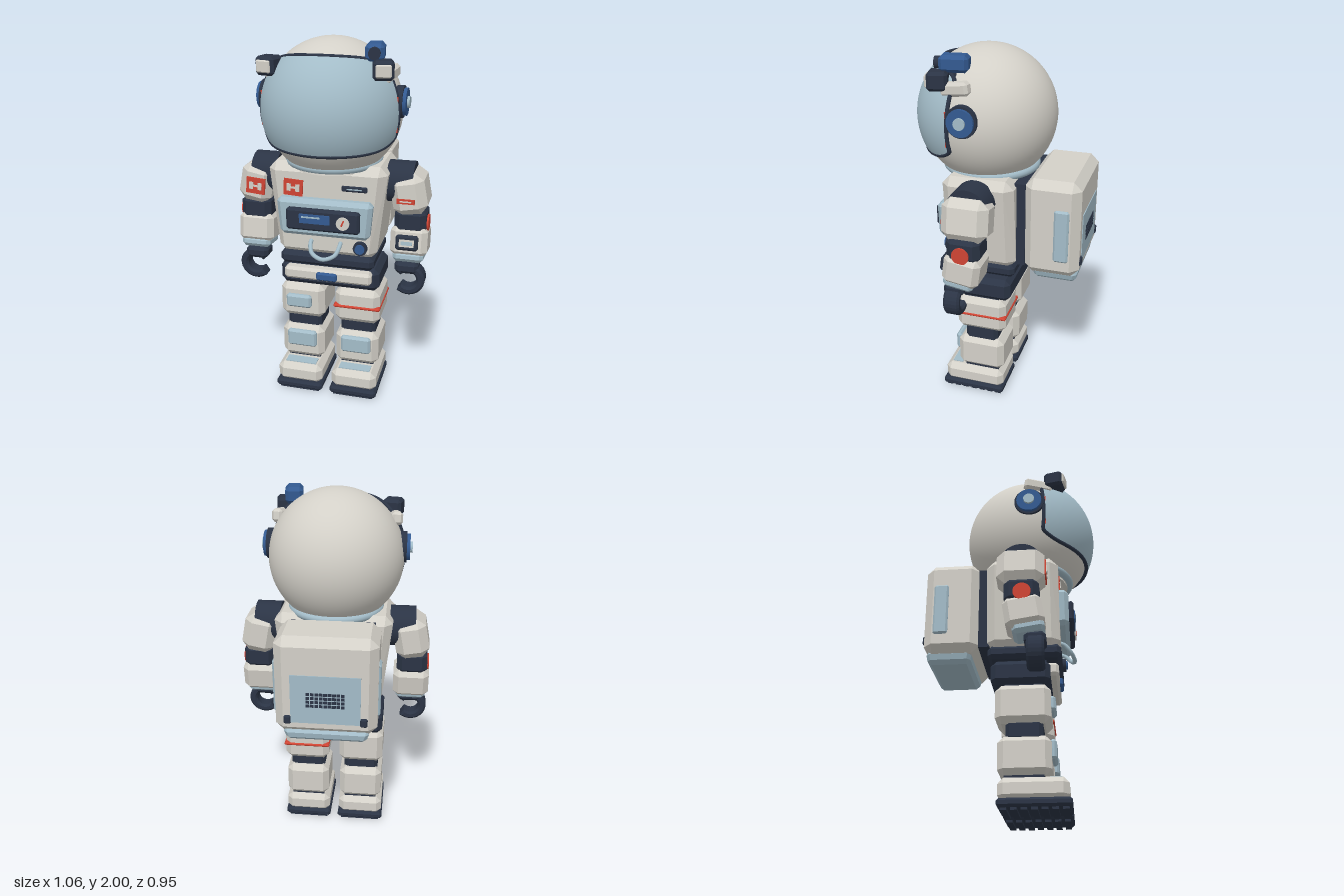
import * as THREE from 'three';
import { ConvexGeometry } from 'three/addons/geometries/ConvexGeometry.js';
import { ParametricGeometry } from 'three/addons/geometries/ParametricGeometry.js';

const material = (name, color) => {
  const m = new THREE.MeshStandardMaterial({ color });
  m.name = name;
  return m;
};

// Box with chamfered edges; bw and bd scale the bottom for a taper
function block(w, h, d, c = 0.02, bw = 1, bd = 1) {
  const pts = [];
  for (const x of [-1, 1]) for (const y of [-1, 1]) for (const z of [-1, 1]) {
    for (const [a, b, e] of [[0, c, c], [c, 0, c], [c, c, 0]]) {
      const py = y * (h / 2 - b), t = 0.5 - py / h;
      pts.push(new THREE.Vector3(x * (w / 2 - a) * (1 + (bw - 1) * t), py, z * (d / 2 - e) * (1 + (bd - 1) * t)));
    }
  }
  return new ConvexGeometry(pts);
}
const box = (w, h, d) => new THREE.BoxGeometry(w, h, d);
const discX = (r, len, n = 28) => new THREE.CylinderGeometry(r, r, len, n).rotateZ(Math.PI / 2);
const discZ = (r, len, n = 28) => new THREE.CylinderGeometry(r, r, len, n).rotateX(Math.PI / 2);

function add(parent, name, geo, mat, x = 0, y = 0, z = 0, rx = 0, ry = 0, rz = 0) {
  const m = new THREE.Mesh(geo, mat);
  m.name = name;
  m.position.set(x, y, z);
  m.rotation.set(rx, ry, rz);
  parent.add(m);
  return m;
}
function group(parent, name, x = 0, y = 0, z = 0, rx = 0, ry = 0, rz = 0) {
  const g = new THREE.Group();
  g.name = name;
  g.position.set(x, y, z);
  g.rotation.set(rx, ry, rz);
  parent.add(g);
  return g;
}

export function createModel() {
  const white = material('suitWhite', 0xd3d0c8);
  const steel = material('paleBlue', 0xa3bcc8);
  const dark = material('darkNavy', 0x2b3445);
  const blue = material('blue', 0x335a91);
  const red = material('red', 0xd04433);
  const root = new THREE.Group();
  root.name = 'astronaut';

  // Red patch with a small pale device mark
  const patch = (parent, x, y, z, rz) => {
    const g = group(parent, 'redPatch', x, y, z, 0, 0, rz);
    add(g, 'patchBase', box(0.105, 0.09, 0.012), red);
    for (const s of [-1, 1]) add(g, 'patchMark', box(0.022, 0.04, 0.006), white, s * 0.024, 0, 0.008);
    add(g, 'patchMarkBar', box(0.04, 0.01, 0.006), white, 0, 0, 0.008);
  };

  // Helmet
  const head = group(root, 'helmet', 0, 1.635, 0.095);
  add(head, 'helmetShell', new THREE.SphereGeometry(0.365, 56, 40), white);
  const rad = Math.PI / 180, span = 74;
  const onSphere = (r, p, t, out) => {
    const top = 52 - 8 * p ** 2 - 6 * p ** 8, bottom = -28 + 2 * p ** 2 + 8 * p ** 8;
    const e = (bottom + (top - bottom) * t) * rad, a = p * span * rad;
    return out.set(r * Math.sin(a) * Math.cos(e), r * Math.sin(e), r * Math.cos(a) * Math.cos(e));
  };
  add(head, 'visor', new ParametricGeometry((u, v, out) => onSphere(0.38, u * 2 - 1, v, out), 48, 32), steel);
  const rim = [];
  const rimPoint = (p, t) => rim.push(onSphere(0.374, p, t, new THREE.Vector3()));
  for (let i = 0; i < 20; i++) rimPoint(-1 + i / 10, 0);
  for (let i = 0; i < 10; i++) rimPoint(1, i / 10);
  for (let i = 0; i < 20; i++) rimPoint(1 - i / 10, 1);
  for (let i = 0; i < 10; i++) rimPoint(-1, 1 - i / 10);
  add(head, 'visorRim', new THREE.TubeGeometry(new THREE.CatmullRomCurve3(rim, true), 160, 0.011, 8, true), dark);

  // Ear pods and helmet lamps
  for (const s of [-1, 1]) {
    const ear = group(root, 'earPod', 0, 1.687, 0.117);
    add(ear, 'earBase', discX(0.082, 0.045), dark, s * 0.352);
    add(ear, 'earRing', discX(0.07, 0.04), blue, s * 0.372);
    add(ear, 'earCap', discX(0.03, 0.04), steel, s * 0.385);
    for (const y of [0.025, -0.125]) add(ear, 'hingeMark', box(0.012, 0.03, 0.012), red, s * 0.352, y, 0.085);

    const lamp = group(root, 'helmetLamp', s * 0.29, 1.866, 0.26, 0, s * 0.22);
    add(lamp, 'lampHousing', block(0.105, 0.095, 0.105, 0.015), dark);
    add(lamp, 'lampFace', block(0.078, 0.062, 0.016, 0.006), white, 0, 0, 0.055);
    add(root, 'lampArm', block(0.06, 0.07, 0.16, 0.015), white, s * 0.305, 1.833, 0.165, 0.15, -s * 0.2);
  }

  // Helmet camera
  const cam = group(root, 'helmetCamera', 0.237, 1.943, 0.19, 0, 0.13);
  add(cam, 'cameraBody', block(0.095, 0.085, 0.15, 0.018), blue);
  add(cam, 'cameraLens', discZ(0.03, 0.03, 20), dark, 0, 0, 0.085);
  add(cam, 'cameraFoot', box(0.04, 0.04, 0.06), dark, 0, -0.05, 0.02);

  // Neck ring and torso
  add(root, 'neckRing', new THREE.TorusGeometry(0.24, 0.024, 12, 48).rotateX(Math.PI / 2), steel, 0, 1.362, 0.08);
  add(root, 'neckCollar', new THREE.CylinderGeometry(0.22, 0.23, 0.05, 40), white, 0, 1.35, 0.08);
  add(root, 'torso', block(0.65, 0.52, 0.39, 0.045, 0.82), white, 0, 1.105, 0.07);
  add(root, 'torsoBase', block(0.52, 0.075, 0.39, 0.022), dark, 0, 0.828, 0.075);
  add(root, 'waistCore', box(0.42, 0.08, 0.26), dark, 0, 0.78, 0.06);

  // Chest console
  const chest = group(root, 'chestConsole', 0, 1.085, 0);
  add(chest, 'consoleBody', block(0.52, 0.205, 0.08, 0.022, 0.93), steel, 0, 0, 0.275);
  add(chest, 'consoleScreenFrame', block(0.395, 0.12, 0.04, 0.012), dark, 0, 0, 0.322);
  add(chest, 'consoleScreen', box(0.165, 0.05, 0.009), blue, -0.04, 0.01, 0.344);
  add(chest, 'screenLine', box(0.1, 0.008, 0.004), steel, -0.06, 0.02, 0.35);
  add(chest, 'dialFace', discZ(0.035, 0.014), white, 0.112, 0, 0.345);
  add(chest, 'dialNeedle', box(0.008, 0.034, 0.004), red, 0.112, 0.004, 0.354, 0, 0, -0.4);
  patch(root, -0.175, 1.235, 0.265, -0.06);
  add(root, 'chestLabel', block(0.135, 0.03, 0.016, 0.005), dark, 0.155, 1.25, 0.266);
  add(root, 'chestLabelLine', box(0.08, 0.006, 0.004), steel, 0.155, 1.25, 0.275);
  add(root, 'knobRing', discZ(0.038, 0.03), dark, 0.19, 0.925, 0.27);
  add(root, 'knob', discZ(0.026, 0.03), blue, 0.19, 0.925, 0.28);
  const handle = [[-0.08, 0.945, 0.25], [-0.08, 0.93, 0.285], [-0.062, 0.89, 0.32], [0, 0.868, 0.337],
    [0.062, 0.89, 0.32], [0.08, 0.93, 0.285], [0.08, 0.945, 0.25]].map(p => new THREE.Vector3(...p));
  add(root, 'chestHandle', new THREE.TubeGeometry(new THREE.CatmullRomCurve3(handle), 40, 0.012, 8), steel);

  // Hips and belt
  add(root, 'hips', block(0.56, 0.13, 0.31, 0.028), dark, 0, 0.705, 0.055);
  add(root, 'beltPanel', block(0.49, 0.07, 0.07, 0.015), white, 0, 0.727, 0.218);
  add(root, 'beltBuckle', block(0.115, 0.045, 0.025, 0.008), blue, 0, 0.728, 0.258);

  // Backpack
  add(root, 'packMount', box(0.46, 0.47, 0.06), dark, 0, 1.105, -0.143);
  const pack = group(root, 'backpack', 0, 1.11, -0.318);
  add(pack, 'packBody', block(0.53, 0.54, 0.3, 0.045), white);
  add(pack, 'packTray', block(0.46, 0.07, 0.25, 0.02, 0.9, 0.9), steel, 0, -0.282, -0.015);
  add(pack, 'packPanel', box(0.36, 0.27, 0.008), steel, 0, -0.06, -0.15);
  for (const s of [-1, 1]) {
    add(pack, 'packSidePlate', block(0.03, 0.295, 0.08, 0.01), steel, s * 0.262, -0.022, -0.057);
    add(pack, 'packLug', block(0.04, 0.05, 0.03, 0.008), dark, s * 0.197, -0.18, -0.145);
  }
  for (let r = 0; r < 4; r++) for (let c = 0; c < 9; c++) {
    add(pack, 'ventSlot', box(0.018, 0.015, 0.014), dark, (c - 4) * 0.0225, -0.06 + (r - 1.5) * 0.022, -0.151);
  }

  // Arms
  for (const s of [-1, 1]) {
    const arm = group(root, s > 0 ? 'leftArm' : 'rightArm');
    add(arm, 'shoulderJoint', discX(0.112, 0.14), dark, s * 0.372, 1.253, 0.075);
    const upper = group(arm, 'upperArm', s * 0.42, 1.205, 0.075, 0, 0, s * 0.19);
    add(upper, 'upperSleeve', block(0.185, 0.225, 0.25, 0.045), white);
    if (s < 0) patch(upper, 0.01, 0, 0.126, 0.1);
    else {
      add(upper, 'sleeveStripe', box(0.095, 0.026, 0.012), red, -0.012, -0.02, 0.126, 0, 0, -0.19);
      add(upper, 'stripeMark', box(0.06, 0.007, 0.004), white, -0.012, -0.02, 0.133, 0, 0, -0.19);
    }
    add(arm, 'elbow', block(0.17, 0.14, 0.18, 0.03), dark, s * 0.432, 1.055, 0.08);
    add(arm, 'elbowDisc', discX(0.046, 0.02), red, s * 0.517, 1.035, 0.085);
    const fore = group(arm, 'forearm', s * 0.43, 0.935, 0.09, -0.15);
    add(fore, 'foreSleeve', block(0.2, 0.17, 0.2, 0.03), white);
    add(fore, 'cuff', block(0.165, 0.06, 0.165, 0.02), steel, 0, -0.085, 0.01);
    if (s > 0) {
      add(fore, 'wristDisplay', block(0.12, 0.082, 0.03, 0.01), dark, -0.005, 0, 0.108);
      add(fore, 'wristScreen', box(0.08, 0.04, 0.006), white, -0.005, 0, 0.124);
      add(fore, 'wristScreenBar', box(0.06, 0.02, 0.004), steel, -0.005, 0, 0.127);
    }

    // Curled glove, open towards the body
    add(arm, 'palm', block(0.13, 0.07, 0.11, 0.02), dark, s * 0.425, 0.8, 0.145);
    const hook = new THREE.Shape(), a0 = 0.75, a1 = 5.3, n = 20;
    for (let i = 0; i <= n; i++) {
      const a = a0 + (a1 - a0) * i / n;
      hook[i ? 'lineTo' : 'moveTo'](-s * 0.078 * Math.cos(a), 0.078 * Math.sin(a));
    }
    for (let i = n; i >= 0; i--) {
      const a = a0 + (a1 - a0) * i / n;
      hook.lineTo(-s * 0.058 * Math.cos(a), 0.058 * Math.sin(a));
    }
    hook.closePath();
    const glove = new THREE.ExtrudeGeometry(hook, { depth: 0.065, bevelEnabled: true, bevelThickness: 0.012, bevelSize: 0.012, bevelSegments: 1 });
    add(arm, 'glove', glove, dark, s * 0.436, 0.73, 0.115);
  }

  // Legs
  for (const s of [-1, 1]) {
    const leg = group(root, s > 0 ? 'leftLeg' : 'rightLeg', s * 0.158, 0, 0);
    add(leg, 'thigh', block(0.255, 0.205, 0.285, 0.032), white, 0, 0.533, 0.067);
    add(leg, 'hipJoint', box(0.19, 0.06, 0.2), dark, 0, 0.63, 0.067);
    add(leg, 'knee', block(0.2, 0.11, 0.19, 0.02), dark, 0, 0.398, 0.072);
    add(leg, 'shin', block(0.248, 0.2, 0.27, 0.032), white, 0, 0.267, 0.073);
    add(leg, 'shinPlate', block(0.17, 0.1, 0.035, 0.012), steel, 0, 0.302, 0.215);
    if (s < 0) add(leg, 'thighPlate', block(0.145, 0.078, 0.035, 0.012), steel, -0.015, 0.54, 0.215);
    else {
      add(leg, 'thighBand', block(0.264, 0.018, 0.296, 0.006), red, 0, 0.533, 0.067);
    }
    add(leg, 'ankle', box(0.19, 0.05, 0.2), dark, 0, 0.16, 0.07);
    add(leg, 'boot', block(0.26, 0.115, 0.35, 0.03), white, 0, 0.1, 0.115);
    add(leg, 'toePlate', box(0.18, 0.006, 0.06), steel, 0, 0.159, 0.225);
    add(leg, 'sole', block(0.27, 0.043, 0.365, 0.012), dark, 0, 0.034, 0.12);
    for (let i = 0; i < 7; i++) add(leg, 'tread', box(0.23, 0.016, 0.032), dark, 0, 0.008, -0.03 + i * 0.05);
  }
  return root;
}
